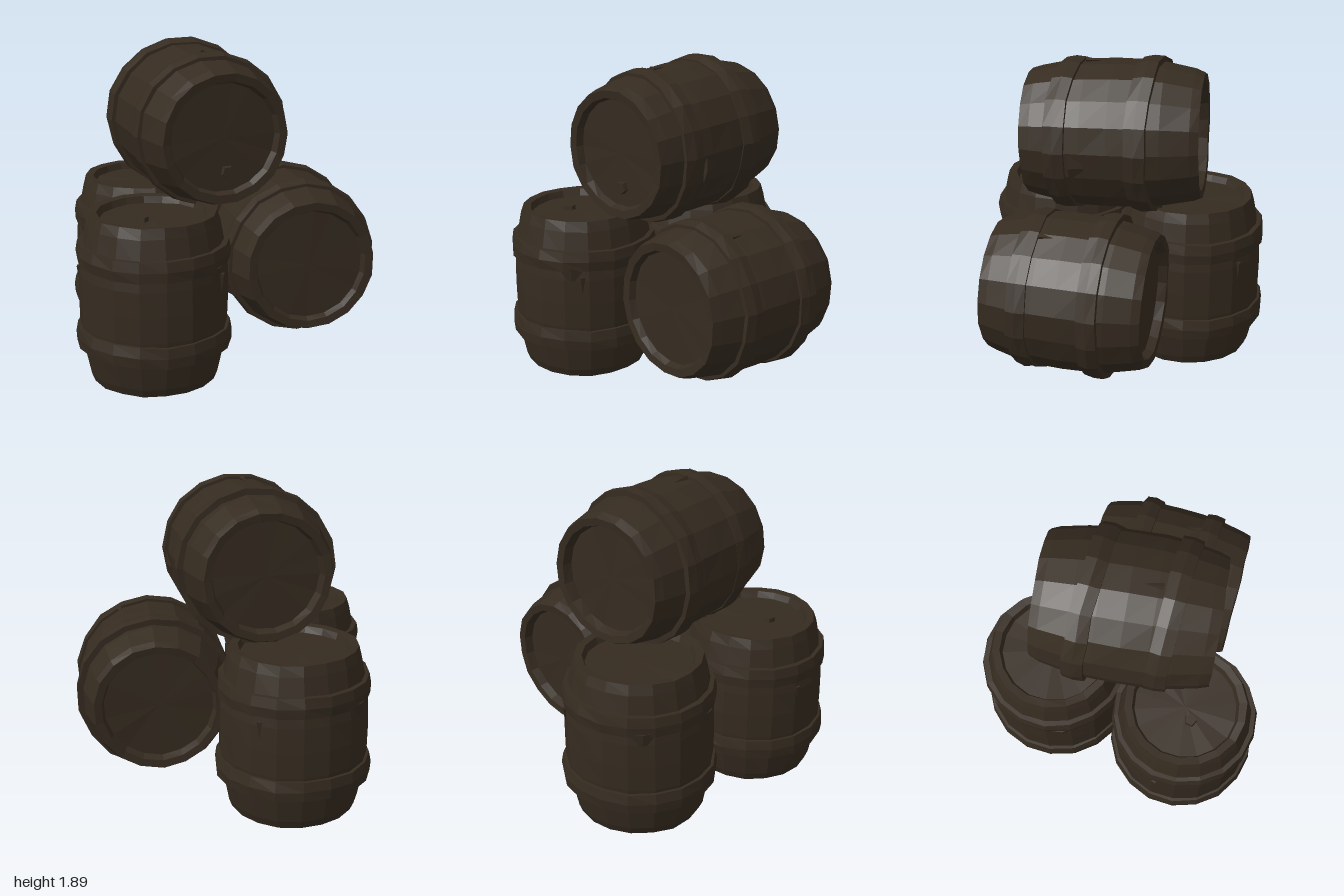
import * as THREE from 'three';

const wood = new THREE.MeshStandardMaterial({ color: 0x352b20, flatShading: true });
wood.name = 'dark brown wood';
const SIDES = 18;

// Repeatable hash in -1..1, used for the hand-hewn unevenness
function rough(a, b, seed) {
  const s = Math.sin(a * 12.99 + b * 78.23 + seed * 37.7) * 43758.55;
  return (s - Math.floor(s)) * 2 - 1;
}

// Faceted turned shape whose outer vertices are moved slightly in radius and height
function hewn(profile, seed, radial, vertical) {
  const geo = new THREE.LatheGeometry(profile.map(([r, y]) => new THREE.Vector2(r, y)), SIDES);
  const pos = geo.attributes.position;
  const n = profile.length;
  for (let k = 0; k < pos.count; k++) {
    const i = Math.floor(k / n) % SIDES;
    const j = k % n;
    const f = 1 + radial * rough(i, j, seed);
    const dy = profile[j][0] > 0.1 ? vertical * rough(i, 0, seed + 5) : 0;
    pos.setXYZ(k, pos.getX(k) * f, pos.getY(k) + dy, pos.getZ(k) * f);
  }
  geo.computeVertexNormals();
  return geo;
}

function part(name, geo, parent) {
  const mesh = new THREE.Mesh(geo, wood);
  mesh.name = name;
  parent.add(mesh);
  return mesh;
}

// Staves and both recessed heads as one closed outline, bottom to top
const bodyProfile = [
  [0, -0.44], [0.31, -0.44], [0.325, -0.495], [0.368, -0.5], [0.388, -0.45],
  [0.42, -0.29], [0.434, -0.15], [0.438, 0], [0.434, 0.15], [0.42, 0.28],
  [0.388, 0.44], [0.37, 0.5], [0.325, 0.495], [0.31, 0.455], [0, 0.455],
];

// Hoop as a band around the staves, centred on its own origin
function hoopProfile(r) {
  return [[0.4, -0.06], [r - 0.005, -0.06], [r, 0], [r - 0.012, 0.06], [0.4, 0.06]];
}

function makeBarrel({ name, at, axis, length = 1, girth = 1, seed, bung,
  hoops = [-0.23, 0.27], hoopTilt = 0, lips, cracks }) {
  const barrel = new THREE.Group();
  barrel.name = name;
  const dir = new THREE.Vector3(...axis).normalize();
  part('staves', hewn(bodyProfile, seed, 0.006, 0.004), barrel);

  // Two hoops, which may have slipped askew
  const tiltAxis = new THREE.Vector3(dir.x, 0, dir.z).normalize();
  hoops.forEach((y, i) => {
    const hoop = part(i ? 'upperHoop' : 'lowerHoop',
      hewn(hoopProfile(i ? 0.45 : 0.462), seed + 1 + i, 0.008, 0.006), barrel);
    hoop.position.y = y;
    hoop.quaternion.setFromAxisAngle(tiltAxis, hoopTilt);
  });

  // Bent loose ends under the upper hoop
  for (const a of lips) {
    const lip = part('bentHoopEnd', new THREE.CylinderGeometry(0.08, 0.02, 0.08, 4), barrel);
    lip.scale.z = 0.22;
    lip.position.set(Math.sin(a) * 0.43, hoops[1] - 0.08, Math.cos(a) * 0.43);
    lip.rotation.y = a;
  }

  // Narrow splinters standing off the staves
  for (const a of cracks) {
    const splinter = part('splinter', new THREE.ConeGeometry(0.02, 0.11, 4), barrel);
    splinter.rotation.x = Math.PI;
    splinter.position.set(Math.sin(a) * 0.43, 0.12, Math.cos(a) * 0.43);
  }

  // Small plug in the head
  if (bung) {
    const plug = part('bung', new THREE.CylinderGeometry(0.036, 0.042, 0.05, 5), barrel);
    plug.position.set(bung[0], 0.455, bung[1]);
  }

  barrel.scale.set(girth, length, girth);
  barrel.position.set(...at);
  barrel.quaternion.setFromUnitVectors(new THREE.Vector3(0, 1, 0), dir);
  return barrel;
}

export function createModel() {
  const group = new THREE.Group();
  group.name = 'barrelStack';
  const barrels = [
    { name: 'leftUprightBarrel', at: [-0.465, 0.504, 0.03], axis: [0, 1, 0], girth: 1.01, seed: 1,
      lips: [-1.2, -0.12], cracks: [3.6] },
    { name: 'frontUprightBarrel', at: [0.228, 0.522, 0.543], axis: [0, 1, 0], length: 0.98,
      girth: 0.98, seed: 2, bung: [0.01, 0.09], lips: [1.85], cracks: [-0.66, 2.0] },
    { name: 'backLyingBarrel', at: [0.343, 0.63, -0.432], axis: [0.885, 0.01, 0.46], length: 0.93,
      girth: 1.04, seed: 3, hoops: [-0.2, 0.24], lips: [1.6], cracks: [3.8] },
    { name: 'topLyingBarrel', at: [0, 1.42, 0.025], axis: [0.93, -0.02, 0.366], length: 1.03,
      girth: 1.01, seed: 4, bung: [0.19, 0.05], hoops: [-0.2, 0.25], hoopTilt: 0.11,
      lips: [2.6], cracks: [-1.9] },
  ];
  for (const spec of barrels) group.add(makeBarrel(spec));
  return group;
}
